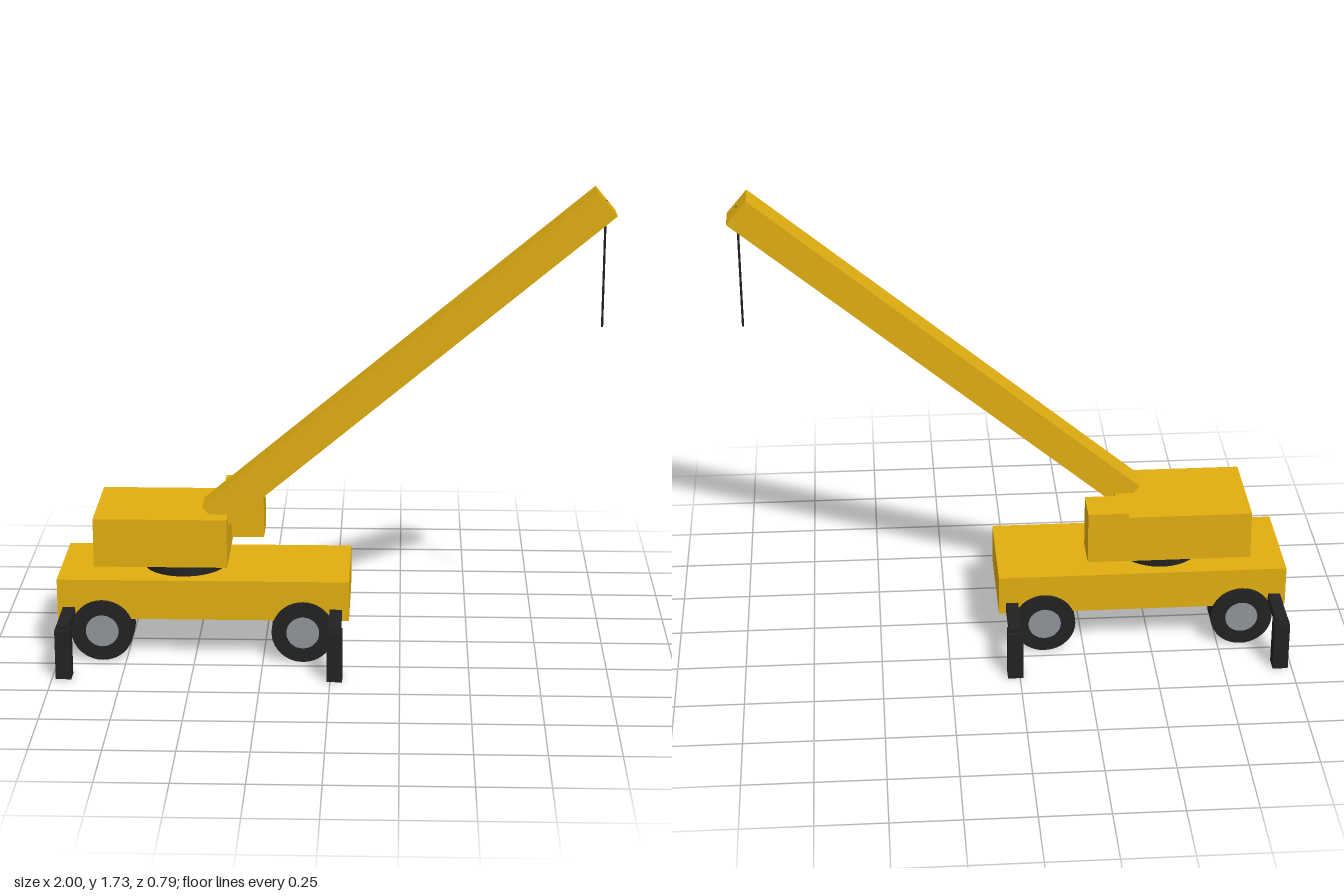
import * as THREE from 'three';

export function createModel() {
  const crane = new THREE.Group();
  crane.name = 'mobileCrane';

  const paint = (name, color) => {
    const m = new THREE.MeshStandardMaterial({ color });
    m.name = name;
    return m;
  };
  const yellow = paint('yellowPaint', 0xe0ad10);
  const black = paint('blackRubber', 0x222222);
  const grey = paint('hubGrey', 0x8f9399);

  const add = (name, geometry, material, x, y, z) => {
    const mesh = new THREE.Mesh(geometry, material);
    mesh.name = name;
    mesh.position.set(x, y, z);
    crane.add(mesh);
    return mesh;
  };
  const box = (name, material, w, h, d, x, y, z) =>
    add(name, new THREE.BoxGeometry(w, h, d), material, x, y, z);

  // Carrier, turntable and revolving upper body
  box('chassis', yellow, 1.064, 0.15, 0.394, -0.468, 0.231, 0);
  add('turntable', new THREE.CylinderGeometry(0.152, 0.152, 0.05, 48), black, -0.545, 0.33, 0);
  box('upperBody', yellow, 0.485, 0.182, 0.366, -0.622, 0.444, 0);
  box('cab', yellow, 0.147, 0.197, 0.136, -0.333, 0.475, -0.153);

  // Boom raised at 40 degrees, with the hoist cable hanging from its tip
  const boom = box('boom', yellow, 1.825, 0.112, 0.112, 0.263, 1.105, 0.06);
  boom.rotation.z = THREE.MathUtils.degToRad(40);
  add('hoistCable', new THREE.CylinderGeometry(0.004, 0.004, 0.46, 8), black, 0.96, 1.465, 0.06);

  // Wheels with hubs showing on both faces
  const tyre = new THREE.CylinderGeometry(0.114, 0.114, 0.09, 40).rotateX(Math.PI / 2);
  const hub = new THREE.CylinderGeometry(0.06, 0.06, 0.094, 32).rotateX(Math.PI / 2);
  for (const side of [1, -1]) {
    for (const x of [-0.837, -0.104]) {
      add('tyre', tyre, black, x, 0.114, side * 0.167);
      add('hub', hub, grey, x, 0.114, side * 0.167);
    }
  }

  // Outriggers: a beam through the chassis with a leg at each end
  for (const x of [-0.958, 0.016]) {
    box('outriggerBeam', black, 0.045, 0.03, 0.766, x, 0.185, 0);
    for (const side of [1, -1]) {
      box('outriggerLeg', black, 0.056, 0.186, 0.057, x, 0.093, side * 0.3685);
    }
  }

  return crane;
}
